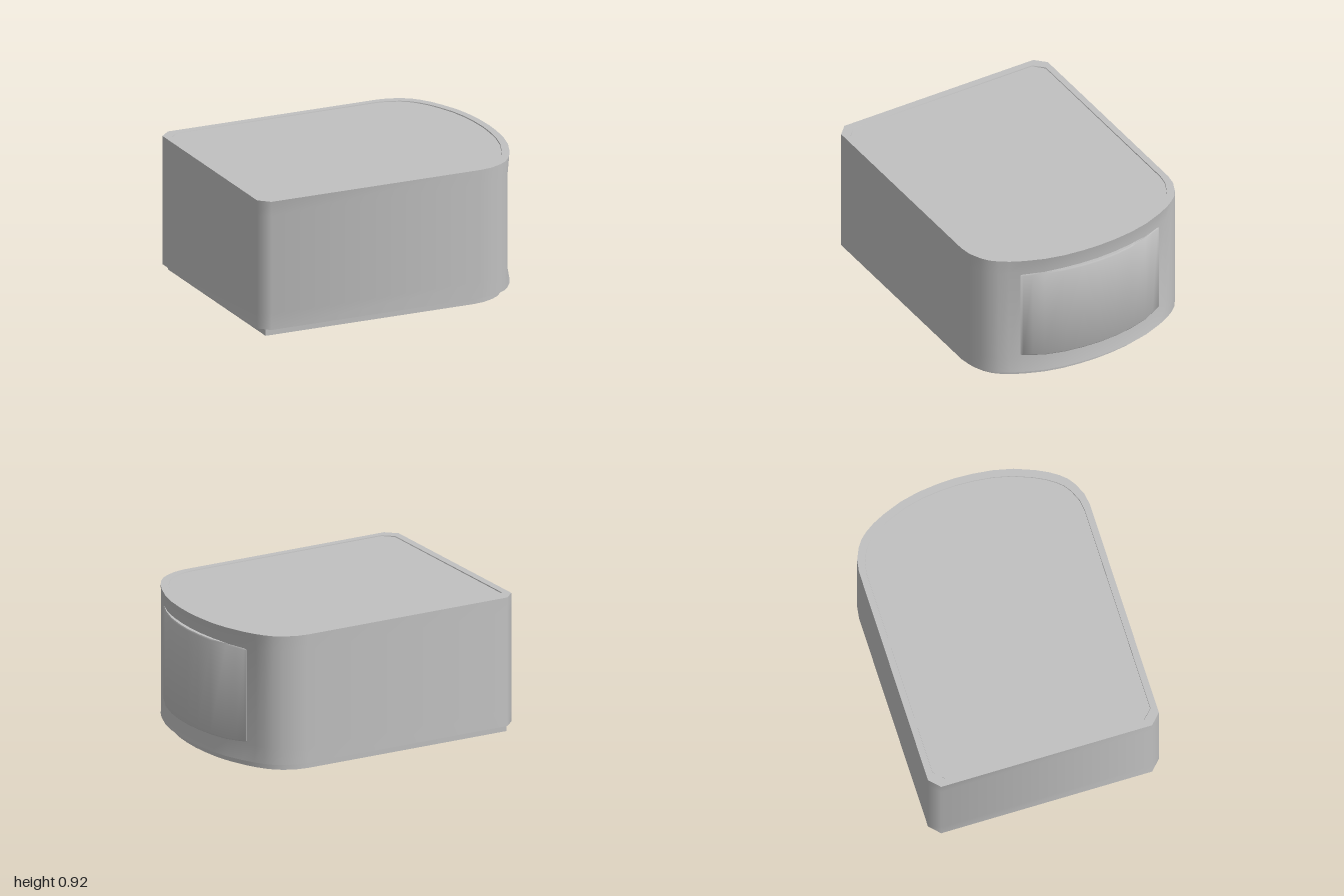
import * as THREE from 'three';
import { toCreasedNormals } from 'three/addons/utils/BufferGeometryUtils.js';

// Half of the rounded front edge as [x, z], from the centre to the side
const ARC = [[0.99, 0], [0.985, 0.12], [0.97, 0.25], [0.94, 0.38], [0.89, 0.51], [0.85, 0.59],
  [0.81, 0.65], [0.77, 0.695], [0.72, 0.73], [0.64, 0.765], [0.56, 0.777]];

// x of the front edge at a given z
function frontX(z) {
  const a = Math.abs(z);
  const i = Math.max(1, ARC.findIndex((p) => p[1] >= a));
  const [x0, z0] = ARC[i - 1], [x1, z1] = ARC[i];
  return x0 + (x1 - x0) * (a - z0) / (z1 - z0);
}

// Outline running counter-clockwise seen from above
function outline(backCorner) {
  const half = [...ARC, ...backCorner];
  const far = half.map(([x, z]) => [x, -z]);
  return [...far, ...half.slice(1).reverse()];
}

// Skin a stack of equal-length rings of [x, y, z], with flat caps
function loft(rings) {
  const pos = [];
  const n = rings[0].length;
  const tri = (...pts) => pts.forEach((p) => pos.push(...p));
  for (let r = 0; r + 1 < rings.length; r++) {
    for (let i = 0; i < n; i++) {
      const j = (i + 1) % n, a = rings[r], b = rings[r + 1];
      tri(a[i], a[j], b[j]);
      tri(a[i], b[j], b[i]);
    }
  }
  const flat = rings[0].map(([x, , z]) => new THREE.Vector2(x, -z));
  const top = rings[rings.length - 1], bottom = rings[0];
  for (const [a, b, c] of THREE.ShapeUtils.triangulateShape(flat, [])) {
    tri(top[a], top[b], top[c]);
    tri(bottom[c], bottom[b], bottom[a]);
  }
  const g = new THREE.BufferGeometry();
  g.setAttribute('position', new THREE.Float32BufferAttribute(pos, 3));
  return toCreasedNormals(g, 0.9);
}

export function createModel() {
  const group = new THREE.Group();
  const grey = new THREE.MeshStandardMaterial({ color: 0xc0c0c0 });
  grey.name = 'grey';
  const add = (name, geometry) => {
    const mesh = new THREE.Mesh(geometry, grey);
    mesh.name = name;
    group.add(mesh);
  };

  // Body: chamfered back corners, front wall dished behind the panel, sunken top
  const plan = outline([[-0.93, 0.777], [-1, 0.71]]);
  const ring = (y, dish = 0, sx = 1, sz = 1) => plan.map(([x, z]) => {
    const fade = x > 0.5 ? THREE.MathUtils.clamp((0.65 - Math.abs(z)) / 0.1, 0, 1) : 0;
    return [(x - dish * fade) * sx, y, z * sz];
  });
  add('body', loft([
    ring(0.05), ring(0.16, 0.02), ring(0.82, 0.02), ring(0.92),
    ring(0.92, 0, 0.952, 0.945), ring(0.914, 0, 0.95, 0.943),
  ]));

  // Base plinth with square back corners
  const foot = outline([[-1, 0.777]]).map(([x, z]) => [x * 0.95, z * 0.943]);
  add('base', loft([0, 0.055].map((y) => foot.map(([x, z]) => [x, y, z]))));

  // Curved front panel, its corners slightly rounded
  const zs = [0.52, 0.505, 0.45, 0.38, 0.25, 0.12];
  const steps = [...zs, 0, ...zs.map((z) => -z).reverse()];
  const panelRing = (yEdge, yMid, inset) => {
    const at = (z, depth) => {
      const t = Math.abs(z) / 0.52;
      const y = yMid + (yEdge - yMid) * THREE.MathUtils.smoothstep(t, 0.75, 1);
      return [frontX(z) + 0.01 - 0.025 * t * t - depth, y, z];
    };
    return [...steps.map((z) => at(z, inset)), ...steps.slice().reverse().map((z) => at(z, 0.05))];
  };
  add('frontPanel', loft([
    panelRing(0.172, 0.163, 0.006), panelRing(0.18, 0.172, 0),
    panelRing(0.792, 0.8, 0), panelRing(0.8, 0.809, 0.006),
  ]));

  return group;
}
